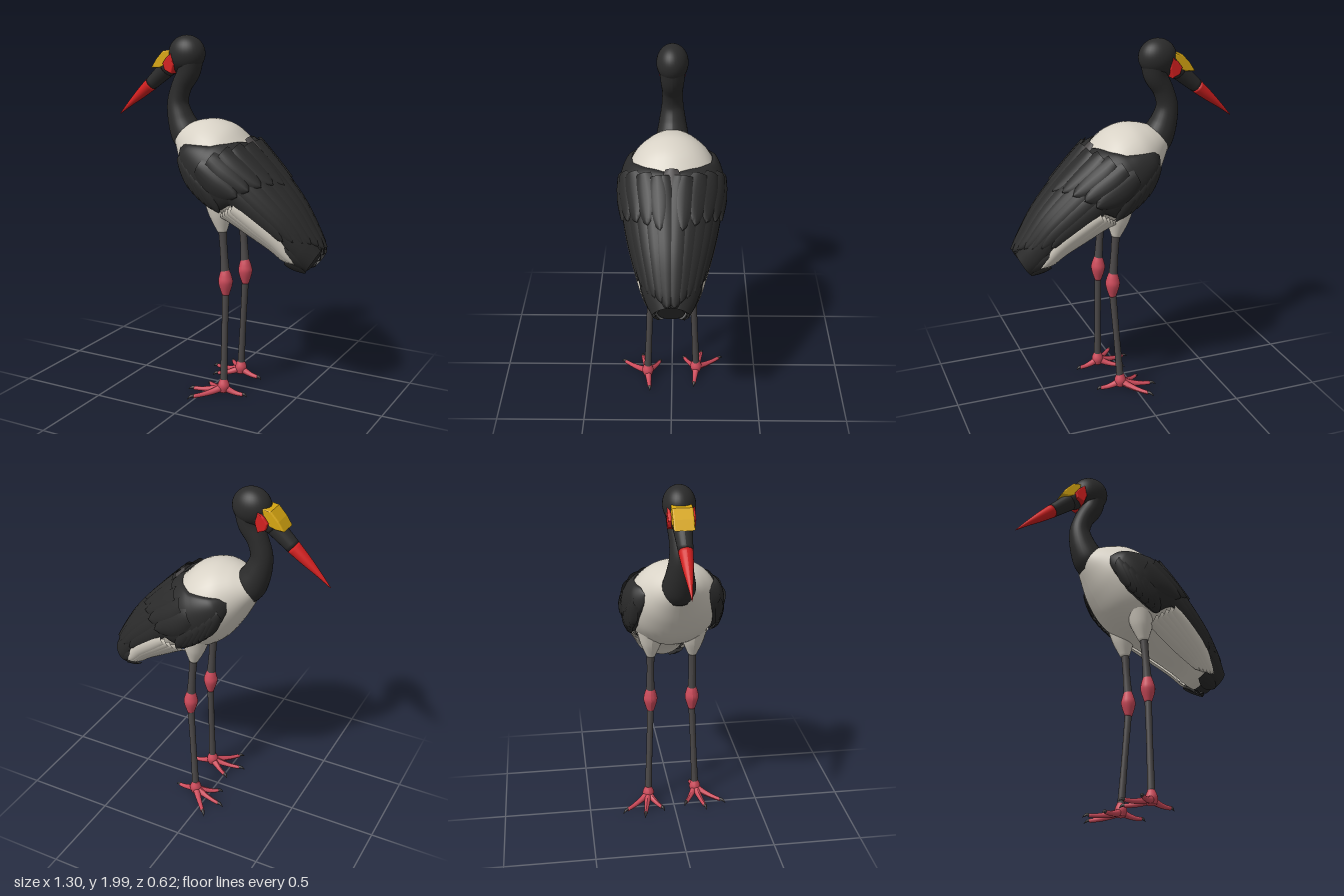
import * as THREE from 'three';

const paint = (name, color, side = THREE.FrontSide) => {
  const m = new THREE.MeshStandardMaterial({ color, side });
  m.name = name;
  return m;
};
const V = (x, y, z = 0) => new THREE.Vector3(x, y, z);

// Smooth grid surface from a rule f(u, v)
function patch(f, nu, nv, flip = false) {
  const pos = [], idx = [];
  for (let i = 0; i <= nu; i++)
    for (let j = 0; j <= nv; j++) pos.push(...f(i / nu, j / nv).toArray());
  for (let i = 0; i < nu; i++)
    for (let j = 0; j < nv; j++) {
      const a = i * (nv + 1) + j, b = a + 1, c = a + nv + 1, d = c + 1;
      idx.push(...(flip ? [a, c, b, b, c, d] : [a, b, c, b, d, c]));
    }
  const g = new THREE.BufferGeometry();
  g.setAttribute('position', new THREE.Float32BufferAttribute(pos, 3));
  g.setIndex(idx);
  g.computeVertexNormals();
  return g;
}

// Round limb through points [x, y, z, radius], closed at both ends
function limb(pts, nu = 20, sides = 16) {
  const path = new THREE.CatmullRomCurve3(pts.map(p => V(p[0], p[1], p[2])));
  const rad = new THREE.CatmullRomCurve3(pts.map((p, i) => V(p[3], i * 0.1)));
  const a = pts[0], b = pts[pts.length - 1];
  const dir = V(b[0] - a[0], b[1] - a[1], b[2] - a[2]).normalize();
  const ref = Math.abs(dir.z) > 0.6 ? V(0, 1, 0) : V(0, 0, 1);
  return patch((u, v) => {
    const t = THREE.MathUtils.clamp((u * (nu + 2) - 1) / nu, 0, 1);
    const T = path.getTangent(t);
    const N = T.clone().cross(ref).normalize(), B = T.clone().cross(N);
    const r = u === 0 || u === 1 ? 0 : Math.max(rad.getPoint(t).x, 0.001);
    const q = v * Math.PI * 2;
    return path.getPoint(t).addScaledVector(N, r * Math.cos(q)).addScaledVector(B, r * Math.sin(q));
  }, nu + 2, sides);
}

// Body cross-sections, chest to tail: top x, y, bottom x, y, half width
const sections = [
  [-0.16, 1.525, -0.265, 1.42, 0.075], [-0.09, 1.545, -0.22, 1.33, 0.145],
  [0, 1.55, -0.16, 1.22, 0.215], [0.1, 1.515, -0.08, 1.11, 0.25],
  [0.19, 1.43, 0.02, 1.04, 0.255], [0.28, 1.34, 0.13, 1.0, 0.235],
  [0.38, 1.235, 0.26, 0.93, 0.205], [0.485, 1.11, 0.38, 0.86, 0.165],
  [0.57, 0.975, 0.47, 0.79, 0.12], [0.62, 0.885, 0.555, 0.765, 0.07]];
const LAST = sections.length - 1;
const topLine = new THREE.CatmullRomCurve3(sections.map(s => V(s[0], s[1], s[4])));
const lowLine = new THREE.CatmullRomCurve3(sections.map(s => V(s[2], s[3], 0)));

// Point on the body: s = section number, a = angle from the spine
function skin(s, a) {
  const t = THREE.MathUtils.clamp(s / LAST, 0, 1);
  const T = topLine.getPoint(t), B = lowLine.getPoint(t), w = T.z, c = (1 - Math.cos(a)) / 2;
  return V(T.x + (B.x - T.x) * c, T.y + (B.y - T.y) * c, w * Math.sin(a));
}
function lifted(s, a, h) {
  const e = 0.02, m = Math.min(s, LAST - e);
  const da = skin(m, a + e).sub(skin(m, a - e)), ds = skin(m + e, a).sub(skin(m - e, a));
  return skin(s, a).addScaledVector(da.cross(ds).normalize(), h);
}

// Feather lying on the body, from (s0, a0) to its rounded tip (s1, a1)
function feather(side, s0, a0, s1, a1, width, lift) {
  return patch((u, v) => {
    const s = s0 + (s1 - s0) * u, a = a0 + (a1 - a0) * u, t = v * 2 - 1;
    const w = width * Math.pow(Math.max(0, Math.sin(Math.PI * (0.15 + 0.85 * u))), 0.5);
    const around = skin(s, a + 0.02).distanceTo(skin(s, a - 0.02)) / 0.04;
    const h = lift + 0.014 * (1 - t * t) - 0.008;
    return lifted(s, side * (a + t * w / Math.max(around, 0.06)), h);
  }, 16, 6, side < 0);
}

// Straight-line lookup in a list of [key, value]
function lookup(list, x) {
  for (let i = 1; i < list.length; i++)
    if (x <= list[i][0]) {
      const [k0, v0] = list[i - 1], [k1, v1] = list[i];
      return v0 + (v1 - v0) * (x - k0) / (k1 - k0);
    }
  return list[list.length - 1][1];
}
const wingTop = [[1.35, 1.7], [1.6, 1.42], [2, 1.28], [3, 0.95], [3.5, 0.6], [4, 0], [9, 0]];
const wingLow = [[1.35, 1.7], [1.6, 1.98], [2, 2.1], [3, 2.2], [4.6, 2.2], [5, 1.8],
  [5.5, 1.5], [6, 1.5], [7, 1.7], [8, 1.85], [9, 2.6]];

export function createModel() {
  const black = paint('black plumage', 0x2b2b2b, THREE.DoubleSide);
  const white = paint('white plumage', 0xd8d2c6, THREE.DoubleSide);
  const red = paint('red bill', 0xd42020);
  const yellow = paint('yellow saddle', 0xd9a812);
  const pink = paint('pink joints', 0xcc4a5a);
  const grey = paint('grey skin', 0x4b4848, THREE.DoubleSide);
  const root = new THREE.Group();
  const add = (name, geo, mat, parent = root) => {
    const m = new THREE.Mesh(geo, mat);
    m.name = name;
    parent.add(m);
    return m;
  };
  const group = name => {
    const g = new THREE.Group();
    g.name = name;
    root.add(g);
    return g;
  };

  // Body and tail stump
  const around = v => Math.PI * (2 * v - 1);
  add('body', patch((u, v) => skin(u * 8.2, around(v)), 48, 40), white);
  add('tail', patch((u, v) => u === 1 ? skin(LAST, 0).lerp(skin(LAST, Math.PI), 0.5)
    : skin(Math.min(8.2 + u, LAST), around(v)), 10, 32), black);

  // Wings: raised shell, then overlapping feathers
  for (const side of [1, -1]) {
    const wing = group(side > 0 ? 'wingA' : 'wingB');
    add('wingShell', patch((u, v) => {
      const s = 1.35 + u * (LAST - 1.35), a0 = lookup(wingTop, s), a1 = lookup(wingLow, s);
      const ease = Math.min(1, u * 12);
      const h = 0.004 + 0.028 * ease * Math.sqrt(Math.max(0, Math.sin(Math.PI * v)));
      return lifted(s, side * (a0 + (a1 - a0) * v), h);
    }, 70, 24, side < 0), black, wing);
    const plume = (name, mat, ...p) => add(name, feather(side, ...p), mat, wing);
    for (let k = 0; k < 6; k++) {
      const a = 0.17 + 0.25 * k;
      plume('flightFeather', black, 4.1 + 0.1 * k, a, 9 - 0.33 * k, a * 1.05, 0.06, 0.034 - 0.002 * k);
    }
    for (let k = 0; k < 5; k++) {
      const a = 0.3 + 0.5 * k;
      plume('tailFeather', black, 6.4 + 0.35 * k, a, 9, a, 0.045, 0.022);
    }
    for (let k = 0; k < 5; k++) {
      const a = 0.27 + 0.3 * k, s = 4.1 - 0.25 * k;
      plume('shoulderFeather', black, s, a, s + 2.1, a * 0.95, 0.06, 0.038);
    }
    for (let k = 0; k < 6; k++) {
      const s = 1.9 + 0.34 * k;
      plume('covert', black, s, 1.8, s + 1.1, 2.08, 0.045, 0.03);
    }
    for (let k = 0; k < 5; k++)
      plume('whiteFlightFeather', white, 4.7 + 0.12 * k, 2.35 - 0.14 * k,
        7.6 + 0.15 * k, 2.3 - 0.1 * k, 0.05, 0.018 + 0.002 * k);
  }
  add('backPatch', feather(1, 3.8, 0, 4.8, 0, 0.045, 0.024), grey);

  // Neck and head
  add('neck', limb([[-0.17, 1.41, 0, 0.085], [-0.2, 1.46, 0, 0.09], [-0.237, 1.54, 0, 0.075],
    [-0.255, 1.63, 0, 0.06], [-0.23, 1.72, 0, 0.057], [-0.185, 1.8, 0, 0.064],
    [-0.17, 1.88, 0, 0.07]], 36, 28), black);
  const skull = new THREE.SphereGeometry(1, 32, 24);
  skull.scale(0.106, 0.1, 0.086).translate(-0.195, 1.9, 0);
  add('head', skull, black);
  add('face', limb([[-0.19, 1.89, 0, 0.08], [-0.26, 1.86, 0, 0.066], [-0.33, 1.81, 0, 0.05]], 12, 24), black);

  // Bill with saddle and red cheeks
  add('billBase', limb([[-0.3, 1.835, 0, 0.054], [-0.36, 1.782, 0, 0.046], [-0.43, 1.722, 0, 0.038]], 10, 24), black);
  add('billTip', limb([[-0.43, 1.722, 0, 0.0385], [-0.5, 1.664, 0, 0.029], [-0.58, 1.597, 0, 0.014],
    [-0.643, 1.54, 0, 0.002]], 16, 24), red);
  const plate = (pts, depth) => {
    const b = 0.008;
    const shape = new THREE.Shape(pts.map(p => new THREE.Vector2(...p)));
    return new THREE.ExtrudeGeometry(shape, { depth: depth - 2 * b, bevelSize: b, bevelThickness: b, bevelSegments: 3 })
      .translate(0, 0, b - depth / 2);
  };
  add('billSaddle', plate([[-0.388, 1.822], [-0.36, 1.86], [-0.318, 1.905], [-0.28, 1.912],
    [-0.288, 1.87], [-0.315, 1.838], [-0.35, 1.826]], 0.108), yellow);
  add('cheeks', plate([[-0.258, 1.895], [-0.285, 1.872], [-0.305, 1.845], [-0.295, 1.815],
    [-0.262, 1.8], [-0.25, 1.84]], 0.142), red);

  // Legs and feet: forward toes, then the hind toe, as offsets in x and z
  const toes = [[-0.14, 0.16], [-0.2, 0.04], [-0.14, -0.08], [0.135, -0.015]];
  for (const side of [1, -1]) {
    const leg = group(side > 0 ? 'legA' : 'legB');
    const ax = side > 0 ? 0.112 : 0.075, az = side * 0.145, kz = side * 0.122;
    add('thigh', limb([[0.07, 1.15, side * 0.12, 0.09], [0.08, 1.04, side * 0.12, 0.062],
      [0.09, 0.95, side * 0.12, 0.026]], 14, 20), white, leg);
    add('upperLeg', limb([[0.088, 1.0, side * 0.12, 0.024], [0.1, 0.84, kz, 0.021],
      [0.11, 0.7, kz, 0.026]]), grey, leg);
    add('knee', limb([[0.108, 0.745, kz, 0.02], [0.11, 0.7, kz, 0.035], [0.111, 0.66, kz, 0.04],
      [0.112, 0.59, kz, 0.02]]), pink, leg);
    add('lowerLeg', limb([[0.112, 0.62, kz, 0.02], [(0.112 + ax) / 2, 0.35, side * 0.133, 0.018],
      [ax, 0.07, az, 0.021]]), grey, leg);
    add('ankle', limb([[ax, 0.1, az, 0.019], [ax, 0.06, az, 0.034], [ax, 0.022, az, 0.026]]), pink, leg);
    for (const [dx, dz] of toes) {
      const at = (t, y, r) => [ax + dx * t, y, az + side * dz * t, r];
      add('toe', limb([at(0, 0.05, 0.022), at(0.3, 0.032, 0.017), at(0.6, 0.022, 0.013),
        at(0.86, 0.02, 0.011)], 14, 12), pink, leg);
      add('claw', limb([at(0.82, 0.022, 0.009), at(0.92, 0.023, 0.008), at(1.03, 0.008, 0.001)], 8, 10), grey, leg);
    }
  }
  return root;
}
